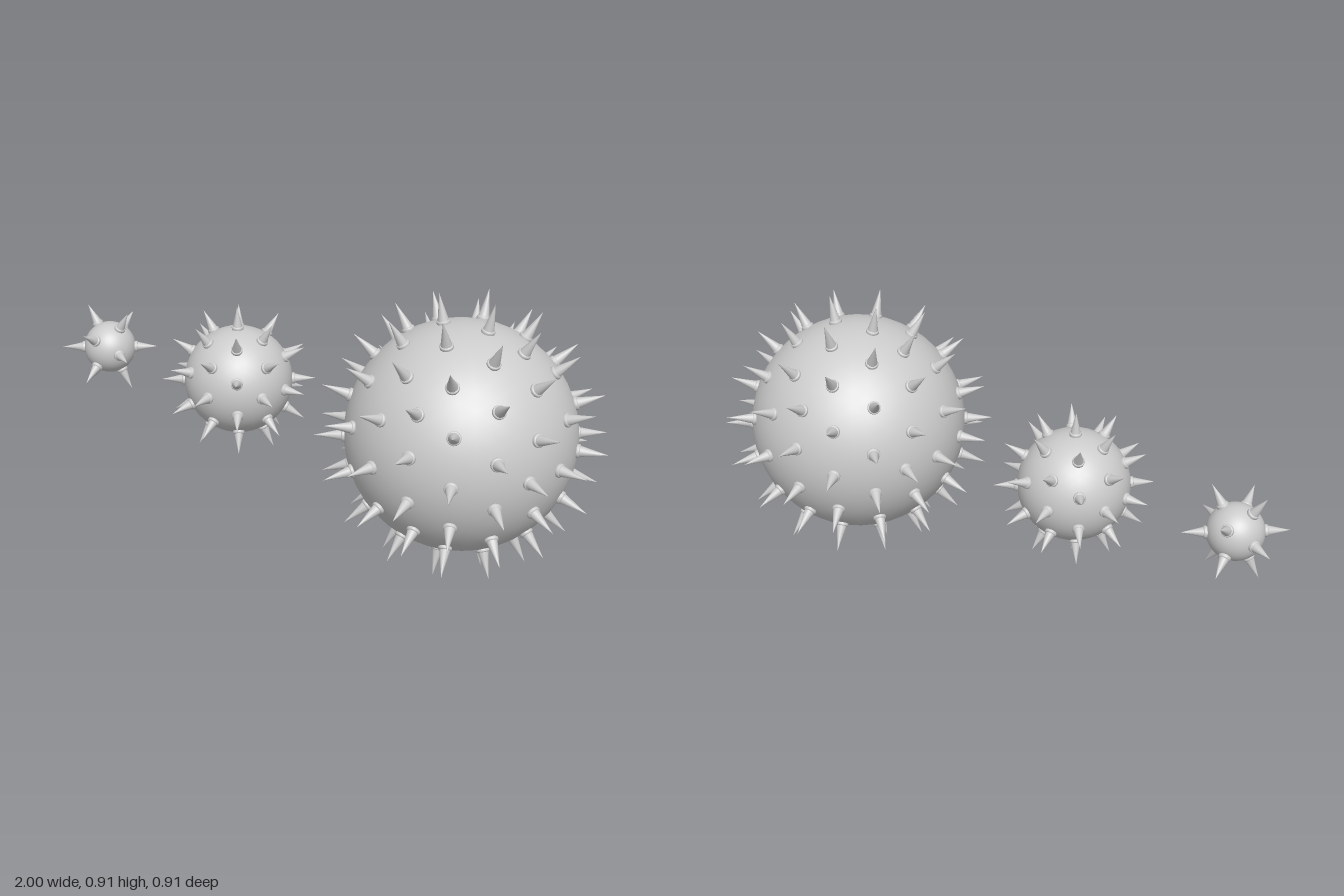
import * as THREE from 'three';

const CENTER_Y = 0.457;
const material = new THREE.MeshStandardMaterial({ color: 0xcccccc });

// Unique unit directions at the vertices of a subdivided icosahedron
function icoDirections(detail) {
  const pos = new THREE.IcosahedronGeometry(1, detail).attributes.position;
  const found = new Map();
  for (let i = 0; i < pos.count; i++) {
    const v = new THREE.Vector3().fromBufferAttribute(pos, i).normalize();
    const key = v.toArray().map((c) => Math.round(c * 1000) + 0).join();
    if (!found.has(key)) found.set(key, v);
  }
  return [...found.values()];
}

// Cone with a low rounded collar at its foot; y = 0 lies on the ball surface
function spikeGeometry(radius, length) {
  const collar = [
    [radius * 0.95, -0.006], [radius, 0.001], [radius, 0.005],
    [radius * 0.94, 0.008], [radius * 0.8, 0.009],
  ].map(([x, y]) => new THREE.Vector2(x, y));
  const cone = [new THREE.Vector2(radius * 0.8, 0.009), new THREE.Vector2(0, length)];
  return [new THREE.LatheGeometry(collar, 16), new THREE.LatheGeometry(cone, 16)];
}

function spikedBall(name, x, radius, tipRadius, spikeRadius, detail) {
  const ball = new THREE.Group();
  ball.name = name;
  ball.position.set(x, CENTER_Y, 0);

  // Smooth round body
  const body = new THREE.Mesh(new THREE.IcosahedronGeometry(radius, 7), material);
  body.name = 'body';
  ball.add(body);

  // One spike at every icosahedral direction, pointing straight out
  const [collarGeo, coneGeo] = spikeGeometry(spikeRadius, tipRadius - radius);
  const up = new THREE.Vector3(0, 1, 0);
  for (const dir of icoDirections(detail)) {
    const spike = new THREE.Group();
    spike.name = 'spike';
    const collar = new THREE.Mesh(collarGeo, material);
    collar.name = 'spikeCollar';
    const cone = new THREE.Mesh(coneGeo, material);
    cone.name = 'spikeCone';
    spike.add(collar, cone);
    spike.position.copy(dir).multiplyScalar(radius);
    spike.quaternion.setFromUnitVectors(up, dir);
    ball.add(spike);
  }
  return ball;
}

export function createModel() {
  const model = new THREE.Group();
  model.name = 'spikedBalls';
  model.add(
    spikedBall('smallBall', -0.855, 0.092, 0.171, 0.02, 0),
    spikedBall('mediumBall', -0.297, 0.185, 0.264, 0.02, 1),
    spikedBall('largeBall', 0.543, 0.37, 0.4665, 0.022, 2),
  );
  return model;
}
